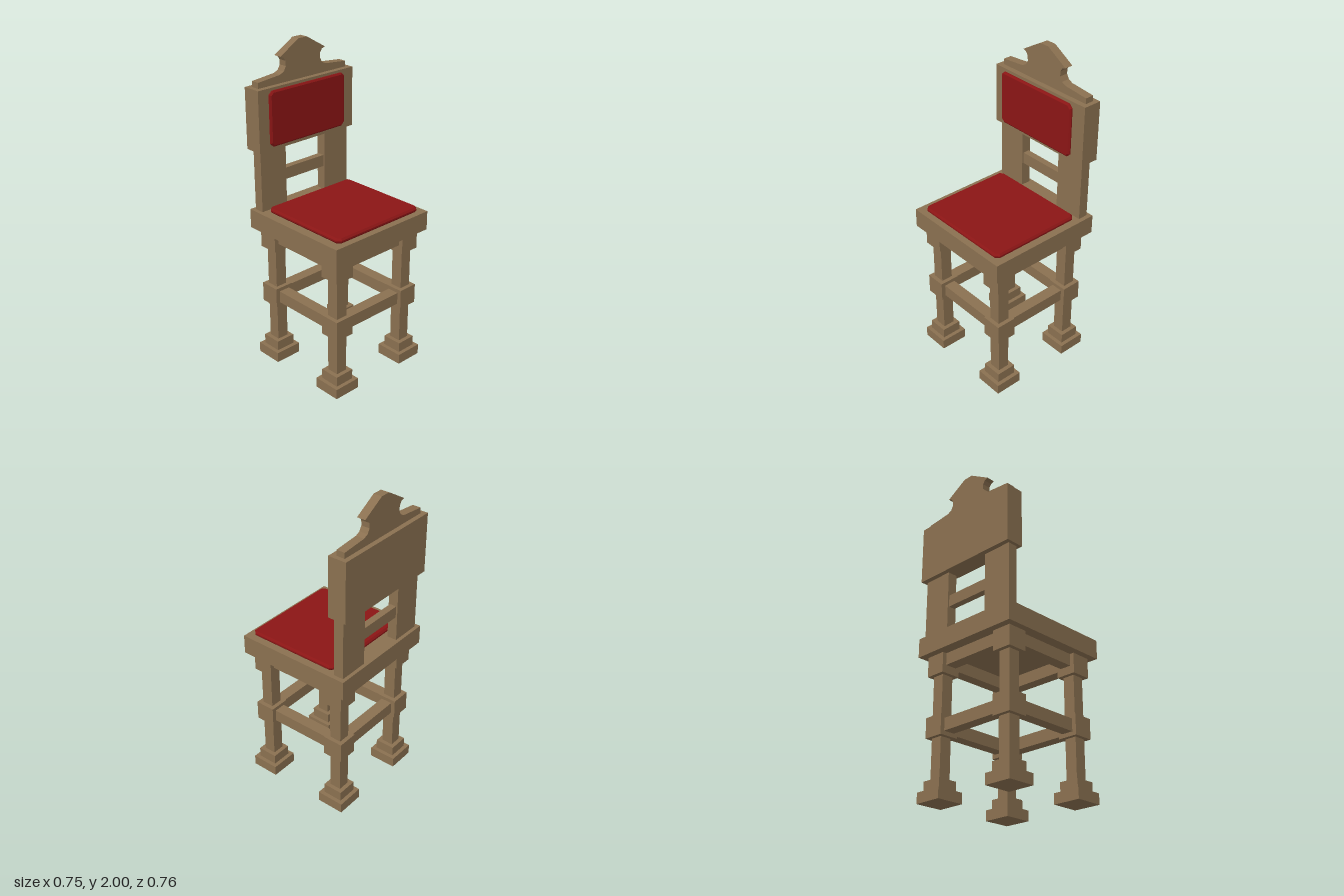
import * as THREE from 'three';

const wood = new THREE.MeshStandardMaterial({ color: 0x8a7050, flatShading: true });
const red = new THREE.MeshStandardMaterial({ color: 0x8b1515, flatShading: true });

// Box given by its limits on each axis
function box(parent, name, [x0, x1], [y0, y1], [z0, z1]) {
  const mesh = new THREE.Mesh(new THREE.BoxGeometry(x1 - x0, y1 - y0, z1 - z0), wood);
  mesh.position.set((x0 + x1) / 2, (y0 + y1) / 2, (z0 + z1) / 2);
  mesh.name = name;
  parent.add(mesh);
  return mesh;
}

// Thin pad with cut corners and a bevelled rim, lying in the xy plane
function pad(name, w, h, thick, cut) {
  const a = w / 2, b = h / 2;
  const shape = new THREE.Shape([
    [a - cut, -b], [a, cut - b], [a, b - cut], [a - cut, b],
    [cut - a, b], [-a, b - cut], [-a, cut - b], [cut - a, -b],
  ].map(([x, y]) => new THREE.Vector2(x, y)));
  const t = thick * 0.35;
  const geo = new THREE.ExtrudeGeometry(shape, {
    depth: thick - 2 * t, bevelThickness: t, bevelSize: 0.01, bevelOffset: -0.01, bevelSegments: 1,
  });
  geo.center();
  const mesh = new THREE.Mesh(geo, red);
  mesh.name = name;
  return mesh;
}

export function createModel() {
  const chair = new THREE.Group();
  chair.name = 'chair';
  const legX = 0.27, frontZ = 0.275, backZ = -0.265;

  // Legs: square shaft with stacked blocks [half width, bottom, top]
  const sections = {
    foot: [0.089, 0, 0.065], footStep: [0.064, 0.065, 0.128], lowerShaft: [0.038, 0.128, 0.38],
    stretcherBlock: [0.064, 0.38, 0.505], upperShaft: [0.038, 0.505, 0.76], topBlock: [0.064, 0.76, 0.885],
  };
  for (const z of [frontZ, backZ]) {
    for (const x of [-legX, legX]) {
      const leg = new THREE.Group();
      leg.name = (z > 0 ? 'front' : 'back') + (x > 0 ? 'Left' : 'Right') + 'Leg';
      for (const [name, [r, y0, y1]] of Object.entries(sections)) box(leg, name, [-r, r], [y0, y1], [-r, r]);
      leg.position.set(x, 0, z);
      chair.add(leg);
    }
  }

  // Rails between the legs: stretchers and aprons on all four sides
  const r = 0.037, e = 0.062;
  for (const [name, y] of [['stretcher', [0.405, 0.482]], ['apron', [0.81, 0.885]]]) {
    for (const z of [frontZ, backZ]) box(chair, name, [e - legX, legX - e], y, [z - r, z + r]);
    for (const x of [-legX, legX]) box(chair, name, [x - r, x + r], y, [backZ + e, frontZ - e]);
  }

  // Seat and its cushion
  box(chair, 'seat', [-0.375, 0.374], [0.885, 1.005], [-0.373, 0.38]);
  const seatPad = pad('seatCushion', 0.66, 0.61, 0.032, 0.024);
  seatPad.rotation.x = -Math.PI / 2;
  seatPad.position.set(0.005, 1.021, 0.042);
  chair.add(seatPad);

  // Backrest: posts, crossbar, panel and cushion
  box(chair, 'backPost', [-0.35, -0.158], [1.005, 1.39], [-0.35, -0.287]);
  box(chair, 'backPost', [0.154, 0.346], [1.005, 1.39], [-0.35, -0.287]);
  box(chair, 'backCrossbar', [-0.158, 0.154], [1.16, 1.234], [-0.34, -0.297]);
  box(chair, 'backPanel', [-0.371, 0.368], [1.388, 1.763], [-0.381, -0.263]);
  const backPad = pad('backCushion', 0.584, 0.336, 0.024, 0.022);
  backPad.position.set(-0.01, 1.582, -0.251);
  chair.add(backPad);

  // Crest: half outline from base to peak, mirrored
  const half = [
    [0.34, 1.763], [0.34, 1.798], [0.178, 1.813], [0.149, 1.827], [0.133, 1.855],
    [0.135, 1.887], [0.148, 1.908], [0.172, 1.917], [0.032, 2],
  ];
  const outline = [...half, ...half.map(([x, y]) => [-x, y]).reverse()];
  const crest = new THREE.Mesh(
    new THREE.ExtrudeGeometry(new THREE.Shape(outline.map(([x, y]) => new THREE.Vector2(x, y))),
      { depth: 0.054, bevelEnabled: false }), wood);
  crest.position.z = -0.351;
  crest.name = 'crest';
  chair.add(crest);

  return chair;
}
